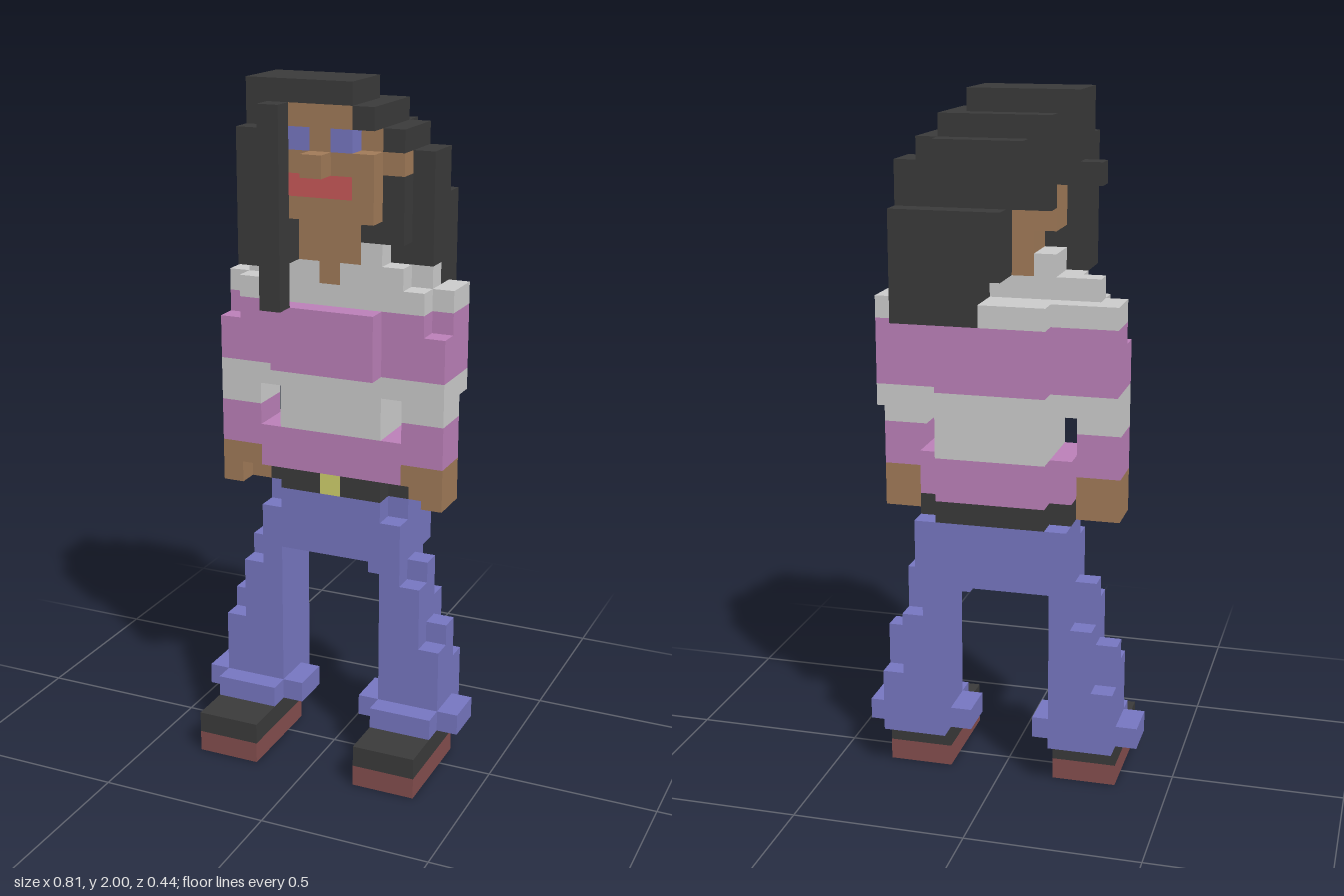
import * as THREE from 'three';
import { mergeGeometries } from 'three/addons/utils/BufferGeometryUtils.js';

const S = 0.0625; // edge of one cube

const COLORS = {
  soles: 0x844e4e, shoes: 0x3a3a3a, trousers: 0x7676c0, belt: 0x3a3a3a, buckle: 0xd0d06c,
  shirt: 0xcccccc, shirtStripes: 0xbb80b8, hands: 0xa07a58, head: 0xa07a58,
  eyes: 0x7676c0, lips: 0xc85858, hair: 0x3a3a3a,
};

export function createModel() {
  const cells = new Map();
  const key = (x, y, z) => `${x},${y},${z}`;

  // Fill a block of cubes (inclusive ranges); later blocks replace earlier ones.
  const fill = (part, x0, x1, y0, y1, z0, z1) => {
    for (let x = x0; x <= x1; x++)
      for (let y = y0; y <= y1; y++)
        for (let z = z0; z <= z1; z++)
          if (part) cells.set(key(x, y, z), { part, x, y, z });
          else cells.delete(key(x, y, z));
  };
  // The same block on both sides
  const both = (part, x0, x1, ...r) => {
    fill(part, x0, x1, ...r);
    fill(part, -x1, -x0, ...r);
  };

  // Shoes
  both('soles', 3, 5, 0, 0, -1, 3);
  both('shoes', 3, 5, 1, 1, -1, 3);

  // Trousers: flared cuffs, stepped legs, hips
  both('trousers', 3, 5, 2, 2, -2, 1);
  both('trousers', 2, 6, 2, 2, -1, 0);
  both('trousers', 3, 4, 3, 7, -2, 0);
  both('trousers', 5, 5, 3, 4, -2, -2);
  both('trousers', 5, 5, 3, 6, -1, -1);
  both('trousers', 5, 5, 3, 5, 0, 0);
  both('trousers', 4, 4, 8, 9, -1, -1);
  both('trousers', 4, 4, 8, 8, 0, 0);
  both('trousers', 3, 3, 8, 9, -2, 0);
  fill('trousers', 2, 2, 9, 9, -1, -1);
  fill('trousers', -3, 3, 10, 12, -3, 0);
  both(null, 3, 3, 12, 12, 0, 0);

  // Belt
  fill('belt', -2, 2, 13, 13, -3, 0);
  both('belt', 3, 3, 13, 13, -2, -1);
  fill('buckle', 0, 0, 13, 13, 0, 0);

  // Shirt body
  fill('shirtStripes', -2, 2, 14, 15, -3, 0);
  both('shirtStripes', 3, 3, 14, 15, -2, 0);
  fill('shirt', -2, 2, 16, 18, -3, 0);
  fill('shirtStripes', -2, 2, 19, 21, -3, 1);
  fill('shirt', -2, 2, 22, 22, -3, 0);

  // Sleeves and shoulders
  both('shirtStripes', 4, 5, 15, 16, -1, 0);
  both('shirt', 4, 5, 17, 17, -1, 0);
  both('shirt', 3, 5, 18, 18, -2, 0);
  both('shirtStripes', 3, 5, 19, 21, -2, 0);
  both(null, 5, 5, 21, 21, 0, 0);
  both('shirt', 3, 5, 22, 22, -2, -1);
  both('shirt', 3, 4, 22, 22, 0, 0);
  fill('shirt', -4, 4, 23, 23, -1, -1);
  fill('shirt', -3, 3, 23, 23, 0, 0);
  both('shirt', 2, 2, 24, 24, -1, 0);

  // Hands
  both('hands', 4, 5, 13, 14, -1, 0);
  both(null, 4, 4, 13, 13, 0, 0);

  // Neck, face, nose and ear
  fill('head', 0, 0, 23, 23, 0, 0);
  fill('head', -1, 1, 24, 25, -1, 0);
  fill('head', -2, 2, 26, 29, -1, 0);
  fill('head', -1, 2, 26, 28, 1, 1);
  fill('head', -1, 1, 29, 30, 1, 1);
  fill('head', 0, 0, 28, 28, 2, 2);
  fill('head', 3, 3, 28, 28, 0, 0);
  both('eyes', 1, 1, 29, 29, 1, 1);
  fill('lips', -1, 1, 27, 27, 1, 1);

  // Crown of the hair
  fill('hair', -3, 1, 31, 31, -1, 1);
  fill('hair', -3, 2, 30, 30, -1, 0);
  fill('hair', -2, 2, 30, 30, -2, -2);
  fill('hair', 2, 2, 30, 30, 1, 1);
  fill('hair', -3, -2, 30, 30, 1, 1);
  fill('hair', -2, 3, 27, 29, -2, -2);
  fill('hair', -1, 2, 28, 29, -3, -3);
  both('hair', 3, 3, 29, 29, -1, 0);
  both('hair', 4, 4, 28, 28, -1, -1);
  fill('hair', -3, -3, 28, 28, -1, 0);

  // Front lock
  fill('hair', -3, -3, 24, 29, 1, 2);
  fill('hair', -2, -2, 24, 30, 1, 2);
  fill('hair', -2, -2, 22, 23, 2, 2);

  // Long hair swept over one shoulder
  fill('hair', 3, 4, 24, 28, -2, -1);
  fill('hair', 3, 3, 25, 27, 0, 0);
  fill('hair', 2, 2, 25, 25, -1, 0);
  fill('hair', 0, 4, 24, 26, -2, -2);
  fill('hair', 1, 4, 23, 23, -2, -2);
  fill('hair', 1, 4, 22, 26, -3, -3);
  fill('hair', 0, 0, 24, 26, -3, -3);

  // One outward square per direction
  const H = Math.PI / 2;
  const sides = [
    [0, 0, 1, 0, 0], [0, 0, -1, 0, 2 * H], [1, 0, 0, 0, H],
    [-1, 0, 0, 0, -H], [0, 1, 0, -H, 0], [0, -1, 0, H, 0],
  ].map(([x, y, z, rx, ry]) => ({
    x, y, z,
    geo: new THREE.PlaneGeometry(S, S).translate(0, 0, S / 2).rotateX(rx).rotateY(ry),
  }));

  // Collect the exposed squares of each part
  const group = new THREE.Group();
  for (const [name, color] of Object.entries(COLORS)) {
    const faces = [];
    for (const c of cells.values()) {
      if (c.part !== name) continue;
      for (const s of sides)
        if (!cells.has(key(c.x + s.x, c.y + s.y, c.z + s.z)))
          faces.push(s.geo.clone().translate(c.x * S, (c.y + 0.5) * S, c.z * S));
    }
    const mesh = new THREE.Mesh(mergeGeometries(faces), new THREE.MeshStandardMaterial({ color }));
    mesh.name = name;
    group.add(mesh);
  }
  return group;
}
